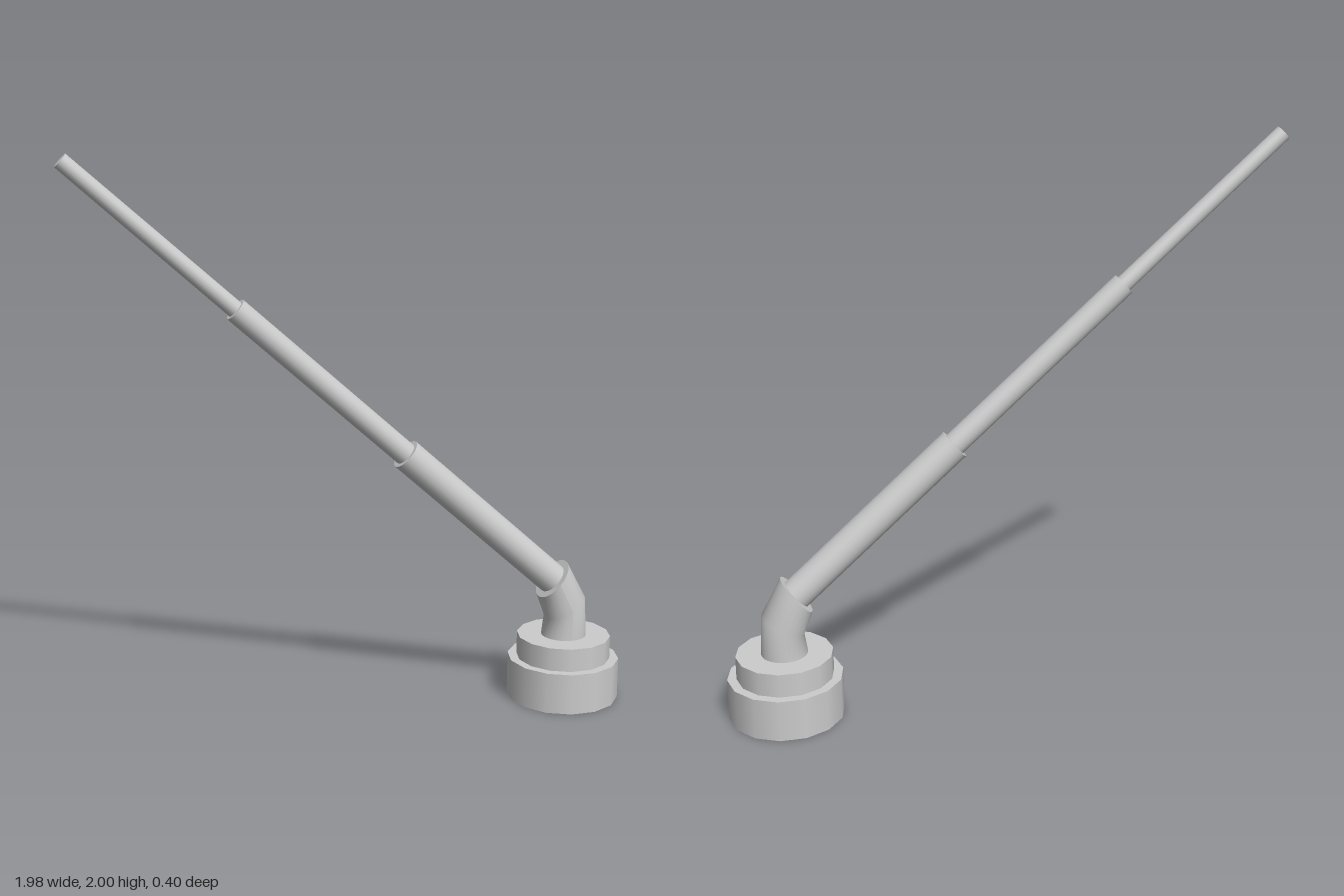
import * as THREE from 'three';

const grey = new THREE.MeshStandardMaterial({ color: 0xcccccc });
const greyDouble = new THREE.MeshStandardMaterial({ color: 0xcccccc, side: THREE.DoubleSide });
const BASE_X = 0.788;
const SIDES = 14;

function addMesh(parent, name, geometry, material = grey) {
  const mesh = new THREE.Mesh(geometry, material);
  mesh.name = name;
  parent.add(mesh);
}

// Open wall of a collar, with a corner on the x axis
function collarWall(radius, bottom, top) {
  return new THREE.CylinderGeometry(radius, radius, top - bottom, SIDES, 1, true)
    .rotateY(Math.PI / 2)
    .translate(BASE_X, (top + bottom) / 2, 0);
}

// Bent sleeve: each ring of a cylinder is moved to a centre and tilted
function elbowGeometry() {
  const rings = [
    { c: [BASE_X, 0.235], u: [0.082, 0] },
    { c: [0.789, 0.342], u: [0.073, 0.038] },
    { c: [0.737, 0.452], u: [0.053, 0.062] },
  ];
  const geometry = new THREE.CylinderGeometry(1, 1, 2, 24, 2);
  const p = geometry.attributes.position;
  for (let i = 0; i < p.count; i++) {
    const { c, u } = rings[Math.round(p.getY(i)) + 1];
    const x = p.getX(i);
    p.setXYZ(i, c[0] + u[0] * x, c[1] + u[1] * x, p.getZ(i) * 0.082);
  }
  geometry.computeVertexNormals();
  return geometry;
}

// Capped rod between two points in the xy plane
function rodGeometry([x0, y0], [x1, y1], startRadius, endRadius) {
  const dir = new THREE.Vector3(x1 - x0, y1 - y0, 0);
  const turn = new THREE.Quaternion().setFromUnitVectors(
    new THREE.Vector3(0, 1, 0), dir.clone().normalize());
  return new THREE.CylinderGeometry(endRadius, startRadius, dir.length(), 20)
    .applyQuaternion(turn)
    .translate((x0 + x1) / 2, (y0 + y1) / 2, 0);
}

export function createModel() {
  const model = new THREE.Group();
  model.name = 'telescopicAntenna';

  // Hollow stepped base, open underneath
  const base = new THREE.Group();
  base.name = 'base';
  model.add(base);
  addMesh(base, 'lowerCollar', collarWall(0.204, 0, 0.15), greyDouble);
  addMesh(base, 'collarLedge', new THREE.RingGeometry(0.171, 0.204, SIDES)
    .rotateX(-Math.PI / 2).translate(BASE_X, 0.15, 0), greyDouble);
  addMesh(base, 'upperCollar', collarWall(0.171, 0.15, 0.235), greyDouble);
  addMesh(base, 'collarTop', new THREE.CircleGeometry(0.171, SIDES)
    .rotateX(-Math.PI / 2).translate(BASE_X, 0.235, 0), greyDouble);

  // Elbow sleeve
  addMesh(model, 'elbow', elbowGeometry());

  // Telescopic sections, each narrower than the last
  const joints = [[0.737, 0.452], [0.172, 0.957], [-0.422, 1.487], [-0.974, 1.98]];
  addMesh(model, 'thickSection', rodGeometry(joints[0], joints[1], 0.057, 0.057));
  addMesh(model, 'middleSection', rodGeometry(joints[1], joints[2], 0.042, 0.042));
  addMesh(model, 'thinSection', rodGeometry(joints[2], joints[3], 0.03, 0.028));

  return model;
}
